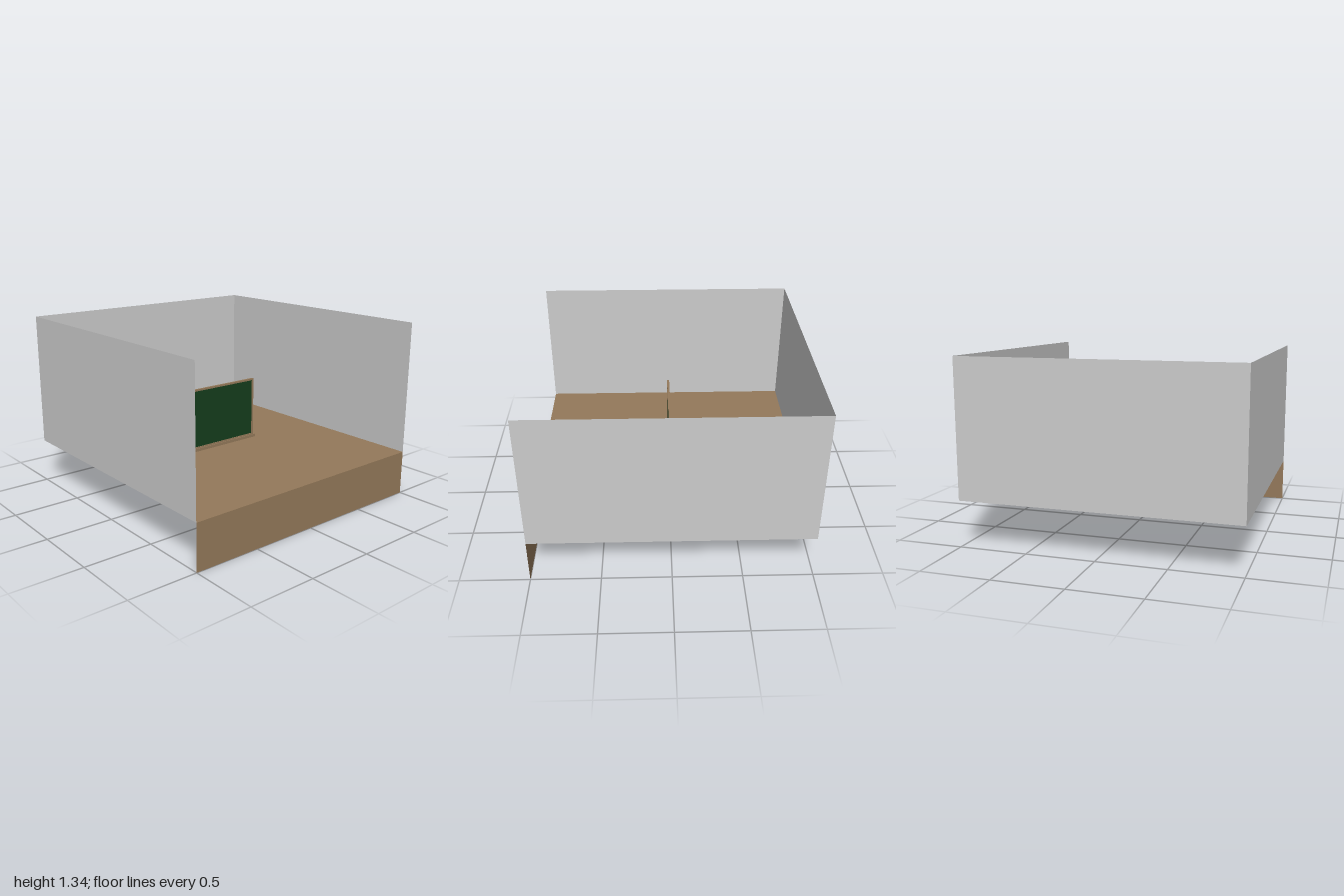
import * as THREE from 'three';

const paint = (color) => new THREE.MeshStandardMaterial({ color, side: THREE.DoubleSide });
const wallMat = paint(0xcccccc);
const woodMat = paint(0x94795a);
const boardMat = paint(0x153d1c);

export function createModel() {
  const model = new THREE.Group();

  // Thin sheet, turned about x and y
  const sheet = (name, w, h, pos, mat, rx = 0, ry = 0) => {
    const mesh = new THREE.Mesh(new THREE.PlaneGeometry(w, h), mat);
    mesh.name = name;
    mesh.position.set(...pos);
    mesh.rotation.set(rx, ry, 0);
    model.add(mesh);
  };
  // Box given by its lower and upper corners
  const box = (parent, name, lo, hi, mat) => {
    const size = hi.map((v, i) => v - lo[i]);
    const mesh = new THREE.Mesh(new THREE.BoxGeometry(...size), mat);
    mesh.name = name;
    mesh.position.set(...lo.map((v, i) => (v + hi[i]) / 2));
    parent.add(mesh);
  };

  // Room: floor, front skirt and three walls
  const floorY = 0.335, wallY = floorY + 0.5;
  sheet('floor', 2, 2, [0, floorY, 0], woodMat, -Math.PI / 2);
  sheet('frontSkirt', 2, floorY, [0, floorY / 2, 1], woodMat);
  sheet('backWall', 2, 1, [0, wallY, -1], wallMat);
  sheet('leftWall', 2, 1, [1, wallY, 0], wallMat, 0, -Math.PI / 2);
  sheet('rightWall', 2, 1, [-1, wallY, 0], wallMat, 0, Math.PI / 2);

  // Chalkboard standing in the middle, framed in wood
  const chalkboard = new THREE.Group();
  chalkboard.name = 'chalkboard';
  model.add(chalkboard);
  const x0 = -0.358, x1 = 0.347, y0 = 0.352, y1 = 0.83, t = 0.014;
  const zb = -0.013, zf = 0.005;
  box(chalkboard, 'writingSurface', [x0 + t, y0 + t, -0.009], [x1 - t, y1 - t, 0.0], boardMat);
  box(chalkboard, 'topFrame', [x0, y1 - t, zb], [x1, y1, zf], woodMat);
  box(chalkboard, 'rightFrame', [x0, y0, zb], [x0 + t, y1 - t, zf], woodMat);
  box(chalkboard, 'leftFrame', [x1 - t, y0, zb], [x1, y1 - t, zf], woodMat);
  box(chalkboard, 'bottomFrame', [x0 + t, y0, zb], [x1 - t, 0.375, zf], woodMat);

  // Tray with a raised lip, and a small eraser on it
  box(chalkboard, 'tray', [x0, y0, zf], [x1, 0.364, 0.034], woodMat);
  box(chalkboard, 'trayLip', [x0, 0.364, 0.029], [x1, 0.374, 0.034], woodMat);
  box(chalkboard, 'eraser', [0.17, 0.364, 0.008], [0.2, 0.373, 0.022], woodMat);

  return model;
}
